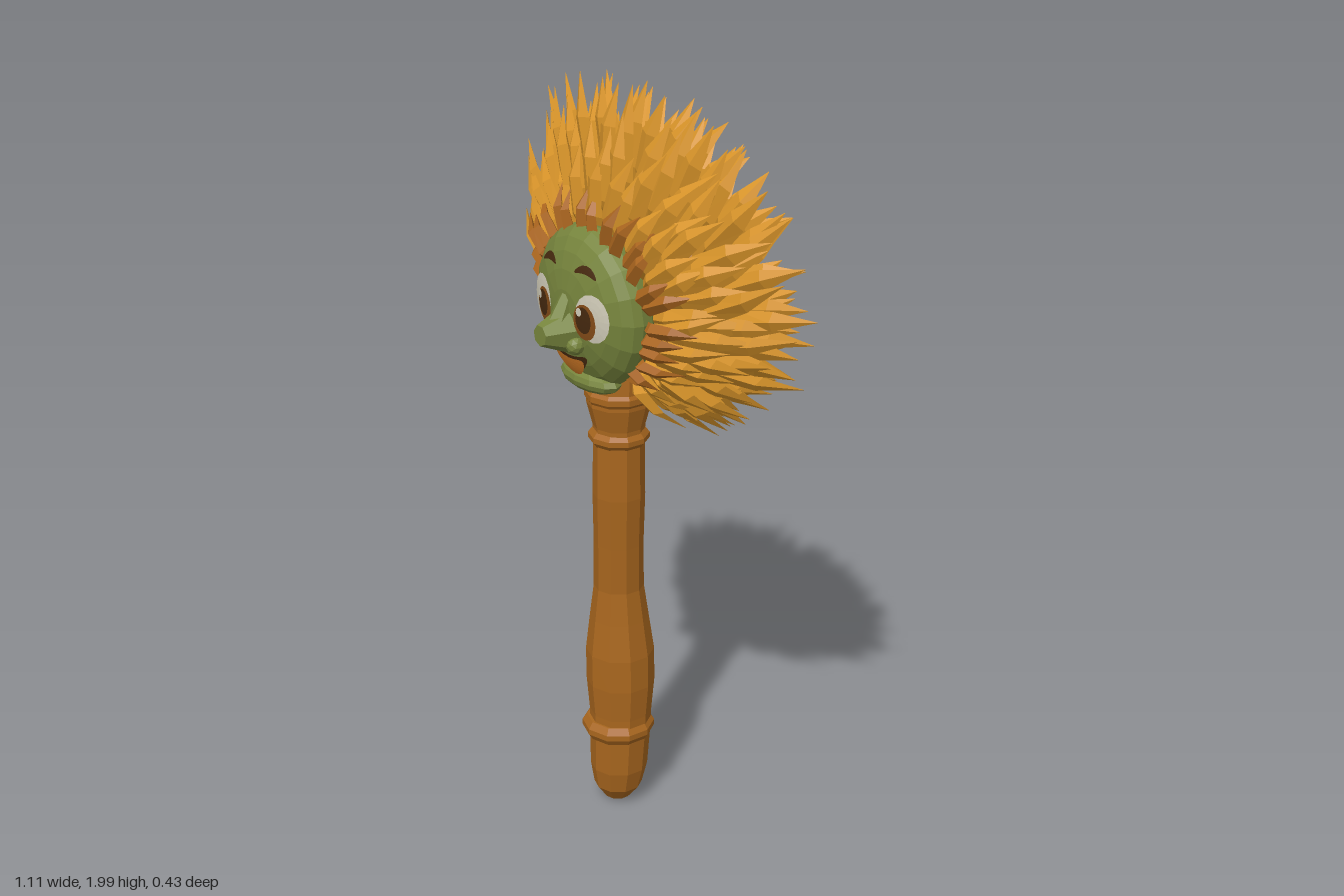
import * as THREE from 'three';

const paint = (name, color) => {
  const m = new THREE.MeshStandardMaterial({ color, flatShading: true });
  m.name = name;
  return m;
};

// small seeded generator for petal variation
function seeded(seed) {
  return () => (seed = (seed * 16807) % 2147483647) / 2147483647;
}

// flower coordinates (radius, angle, depth) to model space: slightly oval, top leaning forward
function place(r, a, z, lean = 1) {
  const s = Math.sin(a);
  const y = 1.44 + 0.1 * Math.max(0, r - 0.2) / 0.33 + r * 0.855 * s;
  return [r * Math.cos(a), y, Math.max(-0.2, z + lean * s * (s > 0 ? 0.55 * r * r : 0.04 * r))];
}

// rewrite every vertex of a geometry by a rule
function warp(geo, rule) {
  const p = geo.attributes.position;
  for (let i = 0; i < p.count; i++) p.setXYZ(i, ...rule(p.getX(i), p.getY(i), p.getZ(i)));
  geo.computeVertexNormals();
  return geo;
}

// one ring of pointed petals with diamond cross-sections, sweeping outward and back
function petalRing({ n, base, tip, z0, z1, w, lean = 1, gap = 0, seed }) {
  const rnd = seeded(seed), pos = [], index = [];
  const ts = [0, 0.32, 0.68, 1], widths = [0.65, 1, 0.8, 0.02];
  for (let k = 0; k < n; k++) {
    const angle = ((k + 0.5 * (seed % 2) + (rnd() - 0.5) * 0.5) / n) * Math.PI * 2;
    const end = tip * (0.88 + 0.12 * rnd()), bend = (rnd() - 0.5) * 0.2, dz = (rnd() - 0.5) * 0.04;
    const below = Math.abs(Math.sin((angle - Math.PI * 1.5) / 2)) * 2;
    if (below < gap) continue;
    const first = pos.length / 3;
    ts.forEach((t, j) => {
      const r = base + (end - base) * t, a = angle + bend * t * t;
      const z = z0 + (z1 + dz - z0) * t + 0.035 * Math.sin(t * Math.PI);
      const side = (w * widths[j]) / r, th = 0.016 * widths[j];
      pos.push(...place(r, a + side, z, lean), ...place(r, a, z + th, lean),
        ...place(r, a - side, z, lean), ...place(r, a, z - th, lean));
    });
    for (let j = 0; j < 3; j++) for (let i = 0; i < 4; i++) {
      const A = first + j * 4 + i, B = first + j * 4 + (i + 1) % 4;
      index.push(A, B, B + 4, A, B + 4, A + 4);
    }
  }
  const geo = new THREE.BufferGeometry();
  geo.setAttribute('position', new THREE.Float32BufferAttribute(pos, 3));
  geo.setIndex(index);
  geo.computeVertexNormals();
  return geo;
}

const FACE = { y: 1.445, r: 0.207, z: 0.068, depth: 0.09, tilt: 0.008 };
const faceZ = (x, y) => {
  const X = x / FACE.r, Y = (y - FACE.y) / FACE.r;
  return FACE.z + FACE.tilt * Y + FACE.depth * Math.sqrt(Math.max(0, 1 - X * X - Y * Y));
};

// thin patch following the curve of the face
function patch(cx, cy, rx, ry, lift, bend = 0, tilt = 0) {
  return warp(new THREE.RingGeometry(0, 1, 16, 4), (u, v) => {
    const x = cx + u * rx, y = cy + v * ry + bend * u * u + tilt * u;
    return [x, y, faceZ(x, y) + lift];
  });
}

export function createModel() {
  const root = new THREE.Group();
  root.name = 'flowerMallet';
  const wood = paint('wood brown', 0xa8661e);
  const gold = paint('petal gold', 0xdb962a);
  const rust = paint('petal root rust', 0xaa651e);
  const green = paint('face green', 0x77853d);
  const white = paint('eye white', 0xd0cbb8);
  const amber = paint('iris brown', 0x854c18);
  const dark = paint('dark brown', 0x46290f);
  const orange = paint('tongue orange', 0xd27a26);

  const add = (name, geo, mat, parent = root) => {
    const m = new THREE.Mesh(geo, mat);
    m.name = name;
    parent.add(m);
    return m;
  };

  // turned handle, with slightly uneven carving
  const turned = pts => new THREE.LatheGeometry(pts.map(p => new THREE.Vector2(p[0], p[1])), 10);
  const handle = turned([[0, 0], [0.035, 0.01], [0.065, 0.05], [0.077, 0.11], [0.082, 0.23], [0.083, 0.28],
    [0.091, 0.37], [0.091, 0.46], [0.078, 0.56], [0.066, 0.65], [0.065, 0.78], [0.068, 0.92], [0.066, 1.08],
    [0.067, 1.11], [0.083, 1.17], [0.083, 1.28], [0, 1.28]]);
  add('handle', warp(handle, (x, y, z) =>
    [x + 0.005 * Math.sin(y * 8), y, z - 0.01 + 0.005 * Math.sin(y * 6 + 2)]), wood);
  for (const [name, y, r, h] of [['lowerRing', 0.235, 0.097, 0.026], ['middleRing', 1.08, 0.079, 0.022],
    ['upperRing', 1.195, 0.088, 0.025]]) {
    add(name, turned([[0.05, -h], [r - 0.012, -h], [r, -h * 0.3], [r, h * 0.3], [r - 0.012, h], [0.05, h]]), wood)
      .position.set(0, y, -0.008);
  }

  // flower core with a flat, wide oval back
  const mane = new THREE.Group();
  mane.name = 'mane';
  root.add(mane);
  const core = new THREE.LatheGeometry(
    [[0, -0.2], [0.34, -0.2], [0.31, -0.13], [0.26, -0.03], [0.19, 0.02], [0, 0.02]]
      .map(p => new THREE.Vector2(p[0], p[1])), 32).rotateX(Math.PI / 2);
  add('flowerCore', warp(core, (x, y, z) => {
    const back = z < -0.19, v = back ? y * 0.8 : y;
    return place(Math.hypot(x, v), Math.atan2(v, x), z, back ? 0 : 0.8);
  }), wood, mane);

  // petal layers from front to back
  const layers = [
    { n: 30, base: 0.18, tip: 0.42, z0: 0.02, z1: -0.03, w: 0.033, gap: 0.42, seed: 11 },
    { n: 34, base: 0.22, tip: 0.49, z0: 0.0, z1: -0.08, w: 0.036, gap: 0.3, seed: 24 },
    { n: 34, base: 0.25, tip: 0.54, z0: -0.03, z1: -0.13, w: 0.037, gap: 0.2, seed: 37 },
    { n: 34, base: 0.27, tip: 0.57, z0: -0.08, z1: -0.18, w: 0.037, gap: 0.15, seed: 52 },
    { n: 36, base: 0.28, tip: 0.54, z0: -0.11, z1: -0.19, w: 0.038, lean: 0.55, seed: 65 },
    { n: 36, base: 0.28, tip: 0.51, z0: -0.14, z1: -0.19, w: 0.038, lean: 0.2, seed: 78 },
    { n: 38, base: 0.26, tip: 0.45, z0: -0.18, z1: -0.2, w: 0.036, lean: 0, seed: 83 },
  ];
  layers.forEach((l, i) => add('petalLayer' + (i + 1), petalRing(l), gold, mane));
  add('petalRoots', petalRing({ n: 30, base: 0.17, tip: 0.34, z0: 0.04, z1: 0.01, w: 0.025, gap: 0.45, seed: 90 }),
    rust, mane);

  // face: shallow dome in front, deeper behind
  const face = new THREE.Group();
  face.name = 'face';
  root.add(face);
  add('head', warp(new THREE.SphereGeometry(1, 18, 12).rotateX(Math.PI / 2), (x, y, z) =>
    [x * FACE.r, FACE.y + y * FACE.r, FACE.z + FACE.tilt * y + z * (z > 0 ? FACE.depth : 0.12)]), green, face);

  // blunt nose widening into the face, bridge, and low muzzle
  const nose = add('nose', new THREE.CylinderGeometry(0.027, 0.064, 0.09, 7).rotateX(Math.PI / 2), green, face);
  nose.position.set(0, 1.395, 0.183);
  const bridge = add('noseBridge', new THREE.CylinderGeometry(0.02, 0.036, 0.1, 6), green, face);
  bridge.position.set(0, 1.437, 0.162);
  bridge.rotation.x = -0.4;
  const chin = add('chin', new THREE.SphereGeometry(1, 12, 8), green, face);
  chin.scale.set(0.11, 0.034, 0.052);
  chin.position.set(0, 1.258, 0.078);

  // open mouth and tongue
  add('mouth', patch(0, 1.307, 0.072, 0.022, 0.006, 0.03), dark, face);
  add('tongue', patch(0, 1.298, 0.058, 0.024, 0.009, 0.024), orange, face);

  // paired features
  for (const [side, s] of [['left', 1], ['right', -1]]) {
    add(side + 'Nostril', new THREE.IcosahedronGeometry(0.024, 1), green, face)
      .position.set(s * 0.045, 1.368, 0.155);
    add(side + 'EyeWhite', patch(s * 0.104, 1.45, 0.052, 0.061, 0.005), white, face);
    add(side + 'Iris', patch(s * 0.085, 1.438, 0.036, 0.046, 0.008), amber, face);
    add(side + 'Pupil', patch(s * 0.085, 1.444, 0.025, 0.034, 0.011), dark, face);
    add(side + 'Glint', patch(s * 0.085 - 0.01, 1.464, 0.009, 0.011, 0.014), white, face);
    add(side + 'Brow', patch(s * 0.075, 1.565, 0.036, 0.01, 0.006, -0.014, -s * 0.003), dark, face);
  }
  return root;
}
